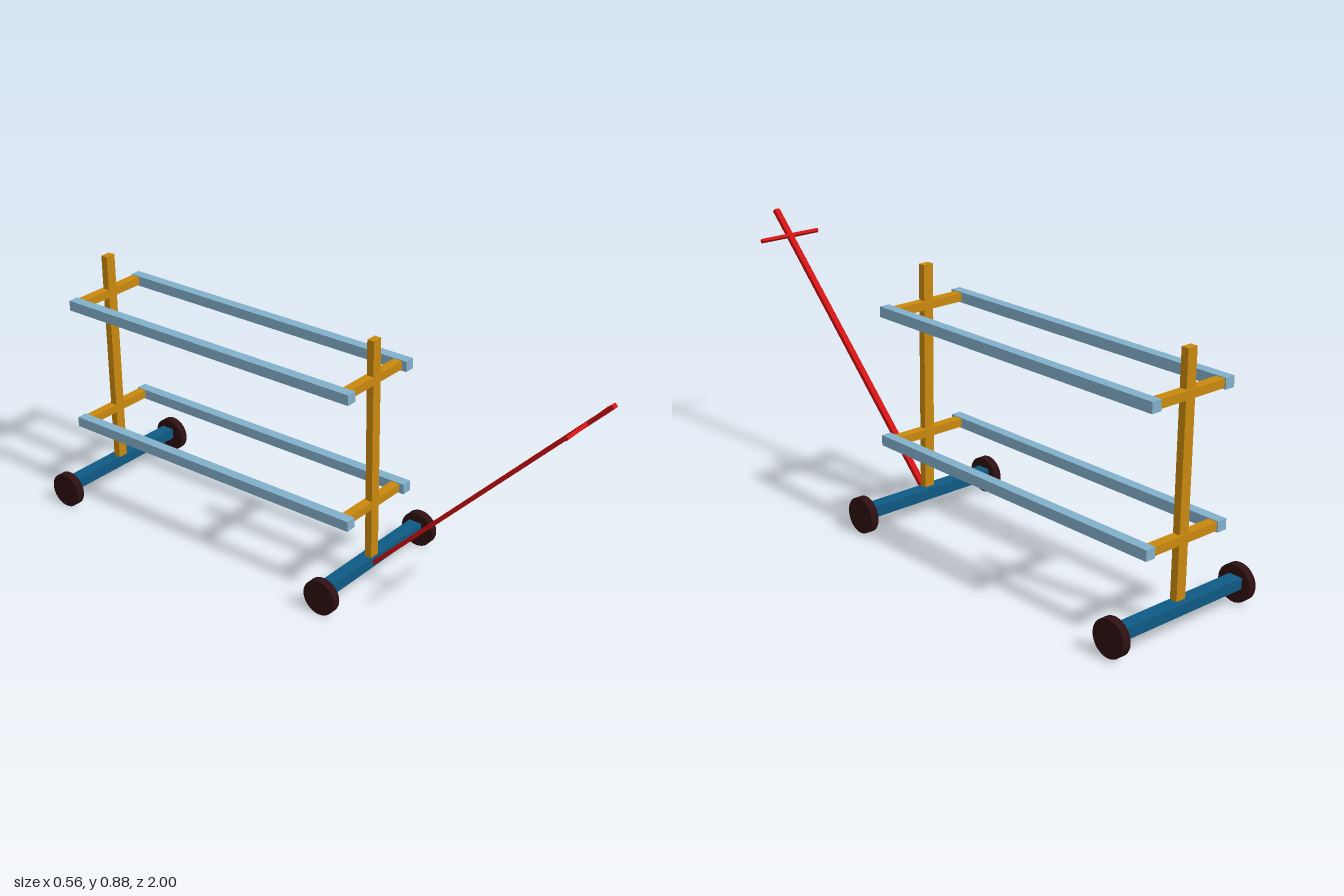
import * as THREE from 'three';

export function createModel() {
  const model = new THREE.Group();
  model.name = 'cart';

  const material = (name, color) => {
    const m = new THREE.MeshStandardMaterial({ color });
    m.name = name;
    return m;
  };
  const orange = material('orange', 0xca880e);
  const paleBlue = material('pale blue', 0x82b0cb);
  const deepBlue = material('deep blue', 0x0e5a84);
  const darkBrown = material('dark brown', 0x2e1011);
  const red = material('red', 0xd01212);

  const add = (parent, name, geometry, mat, x, y, z) => {
    const mesh = new THREE.Mesh(geometry, mat);
    mesh.name = name;
    mesh.position.set(x, y, z);
    parent.add(mesh);
    return mesh;
  };
  const box = (parent, name, mat, size, pos) =>
    add(parent, name, new THREE.BoxGeometry(...size), mat, ...pos);

  const midX = -0.007; // the frame sits slightly off the axle centre
  const levels = [0.281, 0.716];

  // Front and back ends: axle, wheels, post and cross bars
  for (const [label, z] of [['front', 0.172], ['back', -0.943]]) {
    const end = new THREE.Group();
    end.name = label + 'End';
    end.position.z = z;
    model.add(end);

    box(end, 'axle', deepBlue, [0.504, 0.036, 0.048], [0, 0.07, -0.006]);
    for (const side of [-1, 1]) {
      const wheel = new THREE.CylinderGeometry(0.06, 0.06, 0.028, 32).rotateZ(Math.PI / 2);
      add(end, side > 0 ? 'leftWheel' : 'rightWheel', wheel, darkBrown, side * 0.265, 0.06, 0);
    }
    box(end, 'post', orange, [0.037, 0.764, 0.025], [midX, 0.468, 0.003]);
    for (const y of levels) {
      box(end, 'crossBar', orange, [0.27, 0.028, 0.032], [midX - 0.001, y + 0.001, 0]);
    }
  }

  // Long side rails on both levels
  for (const y of levels) {
    for (const side of [-1, 1]) {
      box(model, 'sideRail', paleBlue, [0.036, 0.035, 1.168], [-0.009 + side * 0.149, y, -0.379]);
    }
  }

  // Slanted pull handle with its grip near the top
  const low = new THREE.Vector3(midX, 0.065, 0.188);
  const high = new THREE.Vector3(midX, 0.875, 0.995);
  const handle = new THREE.Group();
  handle.name = 'pullHandle';
  handle.position.copy(low);
  handle.rotation.x = -Math.atan2(high.y - low.y, high.z - low.z);
  model.add(handle);
  const length = low.distanceTo(high);
  box(handle, 'shaft', red, [0.021, 0.014, length], [0, 0, length / 2]);
  box(handle, 'grip', red, [0.238, 0.0115, 0.0115], [0, 0, length - 0.11]);

  return model;
}
